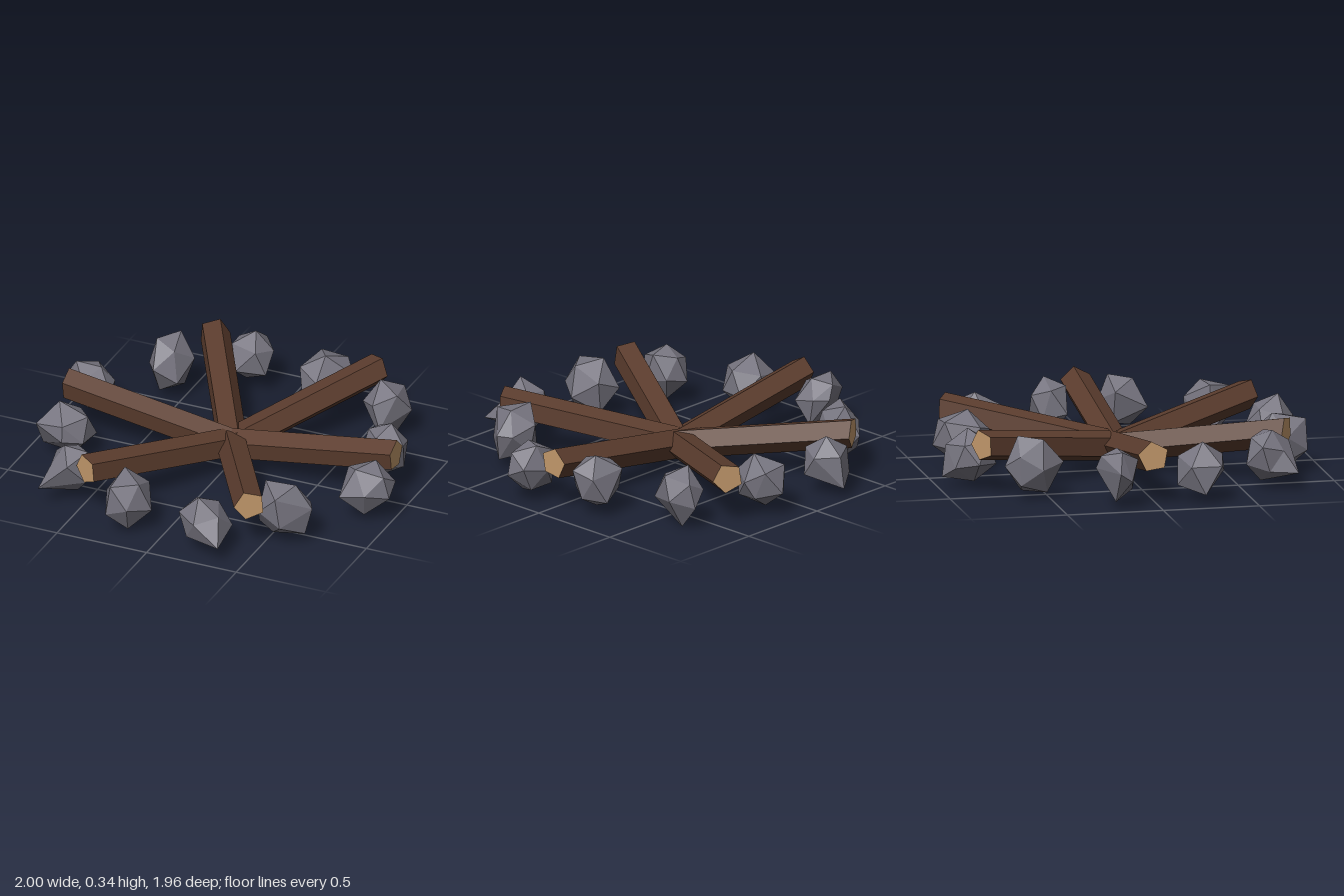
import * as THREE from 'three';

const wood = new THREE.MeshStandardMaterial({ name: 'darkWood', color: 0x5c3d2e, flatShading: true });
const cutWood = new THREE.MeshStandardMaterial({ name: 'cutWood', color: 0xc49a6c, flatShading: true });
const stone = new THREE.MeshStandardMaterial({ name: 'greyStone', color: 0x777580, flatShading: true });

// Small seeded random generator
function seeded(seed) {
  let s = seed * 7919 + 17;
  return () => {
    s = (s * 16807) % 2147483647;
    return s / 2147483647;
  };
}

// Five-sided log running out along +x, rising outward, with upright cut ends
function makeLog(rollDegrees) {
  const length = 0.915, radius = 0.081, rise = 0.14;
  const geo = new THREE.CylinderGeometry(radius, radius, length, 5);
  geo.rotateY(THREE.MathUtils.degToRad(rollDegrees));
  geo.rotateZ(-Math.PI / 2);
  geo.translate(length / 2, 0, 0);
  const p = geo.attributes.position;
  for (let i = 0; i < p.count; i++) p.setY(i, p.getY(i) + (p.getX(i) / length) * rise);
  geo.computeVertexNormals();
  // Groups: bark, outer end, inner end
  return new THREE.Mesh(geo, [wood, cutWood, cutWood]);
}

// Irregular 20-sided stone fitted into a box, with chosen corners pulled out
function makeStone(seed, [x0, x1, y0, y1, z0, z1], spikes) {
  const rand = seeded(seed);
  for (let i = 0; i < 5; i++) rand();
  const geo = new THREE.IcosahedronGeometry(1, 0);
  geo.rotateX(rand() * 6).rotateY(rand() * 6).rotateZ(rand() * 6);
  const p = geo.attributes.position;
  const v = new THREE.Vector3();

  // Collect the shared corners so that faces stay joined
  const corners = [];
  const index = [];
  for (let i = 0; i < p.count; i++) {
    v.fromBufferAttribute(p, i);
    let k = corners.findIndex((c) => c.start.distanceTo(v) < 0.01);
    if (k < 0) {
      k = corners.length;
      corners.push({ start: v.clone(), pos: v.clone().multiplyScalar(0.86 + rand() * 0.28) });
    }
    index.push(k);
  }

  const from = new THREE.Box3().setFromPoints(corners.map((c) => c.pos));
  const size = from.getSize(new THREE.Vector3());
  const low = new THREE.Vector3(x0, y0, z0);
  const span = new THREE.Vector3(x1 - x0, y1 - y0, z1 - z0);
  corners.forEach((c) => c.pos.sub(from.min).divide(size).multiply(span).add(low));

  for (const s of spikes) {
    const target = new THREE.Vector3(...s);
    let best = corners[0];
    for (const c of corners) if (c.pos.distanceTo(target) < best.pos.distanceTo(target)) best = c;
    best.pos.copy(target);
  }
  index.forEach((k, i) => p.setXYZ(i, ...corners[k].pos.toArray()));
  geo.computeVertexNormals();
  return new THREE.Mesh(geo, stone);
}

export function createModel() {
  const model = new THREE.Group();
  model.name = 'campfire';

  // Six logs meeting in the middle, counted anticlockwise from +x
  const logs = new THREE.Group();
  logs.name = 'logs';
  logs.position.set(0.01, 0.124, -0.03);
  [98, 64, 68, 82, 64, 68].forEach((roll, i) => {
    // Turn the pentagon so a corner lies at the given angle from sideways
    const log = makeLog(-roll);
    log.name = 'log' + (i + 1);
    log.rotation.y = (i * Math.PI) / 3;
    logs.add(log);
  });
  model.add(logs);

  // Ring of stones: box limits (x, y, z) and prominent corners
  const ring = [
    [[-0.37, -0.13, 0.04, 0.31, -0.96, -0.71], [[-0.22, 0.06, -0.98]]],
    [[0.075, 0.335, 0.04, 0.31, -0.94, -0.64], [[0.335, 0.2, -0.81]]],
    [[0.485, 0.73, 0.04, 0.315, -0.755, -0.49], [[0.635, 0.005, -0.66], [0.635, 0.12, -0.465]]],
    [[0.68, 0.91, 0.035, 0.325, -0.315, -0.095], [[0.71, 0.25, -0.31]]],
    [[0.735, 0.99, 0.04, 0.305, 0.07, 0.3], [[0.76, 0.15, 0.31], [1, 0.15, 0.22]]],
    [[0.45, 0.71, 0.04, 0.315, 0.45, 0.7], [[0.43, 0.07, 0.56], [0.725, 0.2, 0.56]]],
    [[0.12, 0.37, 0.04, 0.31, 0.7, 0.95], [[0.385, 0.1, 0.975]]],
    [[-0.315, -0.065, 0.03, 0.315, 0.65, 0.92], []],
    [[-0.69, -0.485, 0.04, 0.31, 0.515, 0.75], [[-0.71, 0.1, 0.77]]],
    [[-0.925, -0.655, 0.035, 0.315, 0.115, 0.36], [[-0.76, 0.15, 0.37]]],
    [[-0.97, -0.725, 0.04, 0.3, -0.3, -0.1], [[-1, 0.2, -0.22], [-0.81, 0.2, -0.31]]],
    [[-0.69, -0.47, 0.04, 0.33, -0.72, -0.435], [[-0.59, 0.18, -0.735]]],
  ];
  const stones = new THREE.Group();
  stones.name = 'stones';
  ring.forEach(([box, spikes], i) => {
    const rock = makeStone(i + 1, box, spikes);
    rock.name = 'stone' + (i + 1);
    stones.add(rock);
  });
  model.add(stones);
  return model;
}
